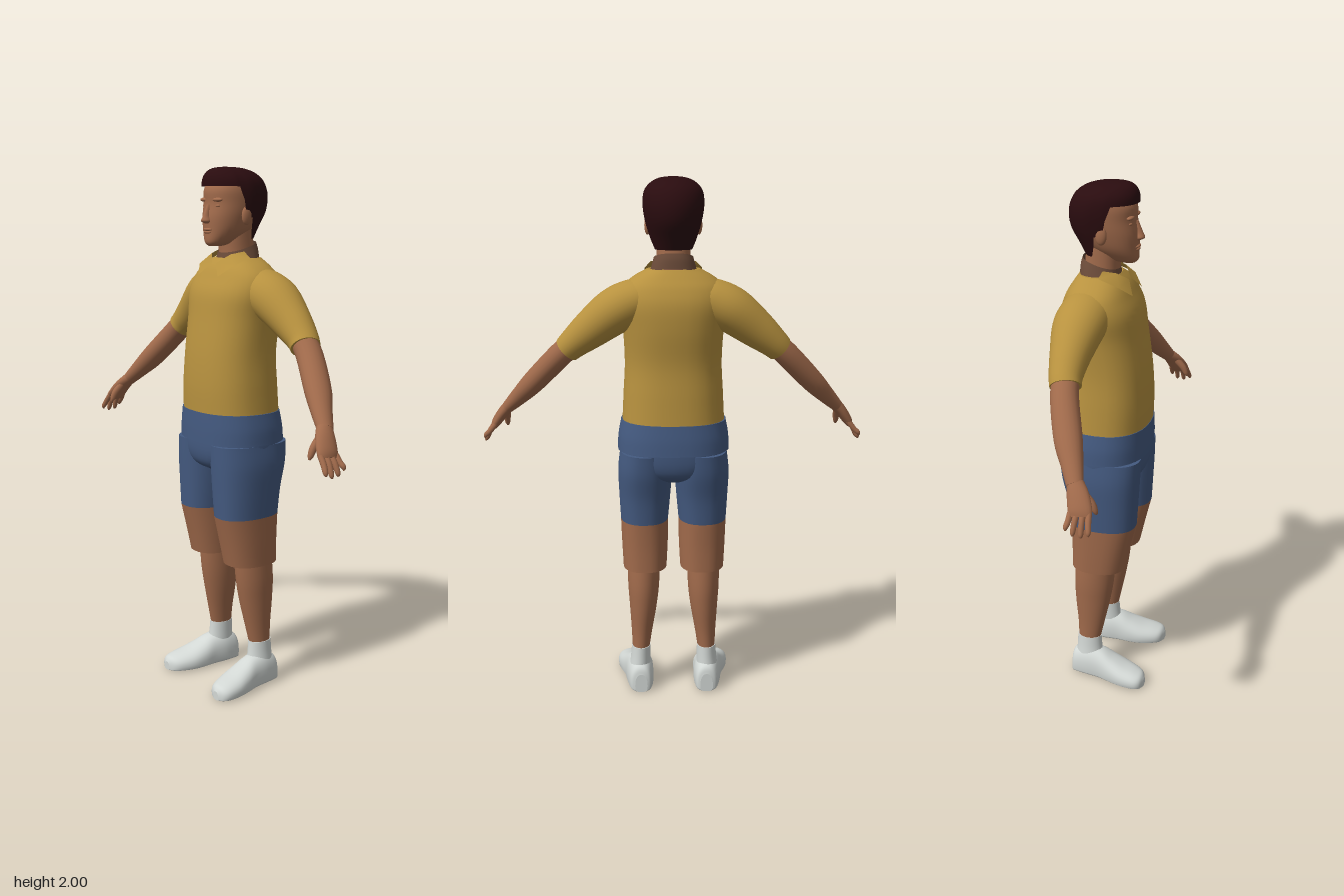
import * as THREE from 'three';

const V = (x, y, z) => new THREE.Vector3(x, y, z);
const mat = (name, color) => {
  const m = new THREE.MeshStandardMaterial({ color, side: THREE.DoubleSide });
  m.name = name;
  return m;
};

// Signed power, used for rounded-box cross-sections
const spow = (t, e) => Math.sign(t) * Math.pow(Math.abs(t), e);

// Smoothly fill in rows of numbers between the given ones
function smooth(rows, steps = 5) {
  const out = [], last = rows.length - 1;
  const at = (i) => rows[Math.min(Math.max(i, 0), last)];
  for (let i = 0; i < last; i++) {
    for (let k = 0; k < steps; k++) {
      const t = k / steps;
      out.push(at(i).map((p1, c) => {
        const p2 = at(i + 1)[c], m1 = (p2 - at(i - 1)[c]) / 2, m2 = (at(i + 2)[c] - p1) / 2;
        const t2 = t * t, t3 = t2 * t;
        return (2 * t3 - 3 * t2 + 1) * p1 + (t3 - 2 * t2 + t) * m1 + (3 * t2 - 2 * t3) * p2 + (t3 - t2) * m2;
      }));
    }
  }
  out.push(rows[last]);
  return out;
}

// Skin a list of closed rings; caps get their own vertices so their rims stay crisp
function skin(rings, capStart = true, capEnd = true) {
  const pos = [], idx = [], n = rings[0].length;
  rings.forEach((r) => r.forEach((p) => pos.push(p.x, p.y, p.z)));
  for (let i = 0; i < rings.length - 1; i++) {
    for (let j = 0; j < n; j++) {
      const a = i * n + j, b = i * n + (j + 1) % n;
      idx.push(a, b, a + n, b, b + n, a + n);
    }
  }
  const cap = (ring, flip) => {
    const base = pos.length / 3, c = V(0, 0, 0);
    ring.forEach((p) => { pos.push(p.x, p.y, p.z); c.addScaledVector(p, 1 / n); });
    pos.push(c.x, c.y, c.z);
    for (let j = 0; j < n; j++) {
      const a = base + j, b = base + (j + 1) % n;
      flip ? idx.push(b, a, base + n) : idx.push(a, b, base + n);
    }
  };
  if (capStart) cap(rings[0], true);
  if (capEnd) cap(rings[rings.length - 1], false);
  const g = new THREE.BufferGeometry();
  g.setAttribute('position', new THREE.Float32BufferAttribute(pos, 3));
  g.setIndex(idx);
  g.computeVertexNormals();
  return g;
}

const ring = (n, fn) => Array.from({ length: n }, (_, j) => fn((j / n) * Math.PI * 2));

// Upright body part from rows of [y, centre x, front z, back z, half width]
function upright(rows, { e = 0.9, caps = [true, true], tilt = 0 } = {}) {
  return skin(smooth(rows).map(([y, cx, zf, zb, rx]) => ring(32, (a) => {
    const dz = spow(Math.cos(a), e) * (zf - zb) / 2;
    return V(cx + rx * spow(Math.sin(a), e), y - tilt * dz, (zf + zb) / 2 + dz);
  })), ...caps);
}

// Limb along a path from rows of [x, y, z, thickness radius, width radius]
function limb(rows, sides = 20, caps = [true, true]) {
  const s = smooth(rows), p = s.map((r) => V(r[0], r[1], r[2]));
  return skin(s.map((r, i) => {
    const t = p[Math.min(i + 1, p.length - 1)].clone().sub(p[Math.max(i - 1, 0)]).normalize();
    const v = V(0, 0, 1).addScaledVector(t, -t.z).normalize(), u = t.clone().cross(v);
    return ring(sides, (a) => p[i].clone().addScaledVector(u, r[3] * Math.sin(a)).addScaledVector(v, r[4] * Math.cos(a)));
  }), ...caps);
}

// Shoe from rows of [z, centre x, half width, height], with a flat sole
function shoeGeometry(rows) {
  return skin(smooth(rows).map(([z, cx, w, h]) => ring(28, (a) => {
    const c = Math.cos(a);
    return V(cx - w * spow(Math.sin(a), 0.85), h * 0.35 + (c > 0 ? 0.65 * h * spow(c, 0.9) : 0.35 * h * spow(c, 0.35)), z);
  })));
}

// Hair shell whose lower edge runs fringe, temple, nape
function hairGeometry() {
  const profile = smooth([[1.73, 0.03, -0.09, 0.07], [1.78, 0.08, -0.117, 0.088], [1.84, 0.099, -0.15, 0.104],
    [1.9, 0.1, -0.155, 0.113], [1.95, 0.1, -0.136, 0.107], [1.98, 0.088, -0.1, 0.082], [1.995, 0.065, -0.055, 0.05], [2, 0.03, -0.015, 0.012]], 8);
  const at = (y) => {
    let i = 0;
    while (i < profile.length - 2 && profile[i + 1][0] < y) i++;
    const t = THREE.MathUtils.clamp((y - profile[i][0]) / (profile[i + 1][0] - profile[i][0]), 0, 1);
    return profile[i].map((p, c) => p + (profile[i + 1][c] - p) * t);
  };
  const step = THREE.MathUtils.smoothstep;
  const rows = Array.from({ length: 25 }, (_, k) => Math.sin((k / 24) * Math.PI / 2));
  return skin(rows.map((k) => ring(48, (a) => {
    const f = Math.cos(a);
    const low = 1.74 + 0.08 * step(f, -0.4, -0.1) + 0.11 * step(f, 0.1, 0.4);
    const [y, zf, zb, rx] = at(low + (2 - low) * k);
    return V(rx * Math.sin(a), y, (zf + zb) / 2 + f * (zf - zb) / 2);
  })), false, true);
}

// Copy of a geometry on the other side of x = 0
function mirror(g) {
  const m = g.clone().scale(-1, 1, 1), ix = m.index.array;
  for (let i = 0; i < ix.length; i += 3) [ix[i], ix[i + 1]] = [ix[i + 1], ix[i]];
  m.computeVertexNormals();
  return m;
}

const blob = (x, y, z, rx, ry, rz) => new THREE.SphereGeometry(1, 20, 14).scale(rx, ry, rz).translate(x, y, z);

export function createModel() {
  const model = new THREE.Group();
  model.name = 'standingMan';
  const skinTone = mat('skin', 0xa06a4b), shirt = mat('shirtYellow', 0xb8923f), blue = mat('shortsBlue', 0x445a80);
  const hair = mat('hairDark', 0x2a0c0f), white = mat('shoeWhite', 0xd3d8d5), band = mat('collarBrown', 0x6c4c3a);

  const add = (name, g, m) => {
    const mesh = new THREE.Mesh(g, m);
    mesh.name = name;
    model.add(mesh);
  };
  const pair = (name, g, m) => {
    add(name + 'Left', g, m);
    add(name + 'Right', mirror(g), m);
  };

  // Head and face
  add('head', upright([[1.715, 0, 0.088, 0.03, 0.022], [1.73, 0, 0.1, -0.02, 0.045], [1.77, 0, 0.1, -0.08, 0.073],
    [1.82, 0, 0.1, -0.12, 0.088], [1.87, 0, 0.092, -0.13, 0.094], [1.92, 0, 0.09, -0.13, 0.094],
    [1.96, 0, 0.06, -0.1, 0.08], [1.98, 0, 0.02, -0.05, 0.03]]), skinTone);
  add('nose', upright([[1.797, 0, 0.107, 0.08, 0.012], [1.806, 0, 0.122, 0.08, 0.019], [1.825, 0, 0.115, 0.08, 0.012],
    [1.865, 0, 0.098, 0.08, 0.008]], { e: 1 }), skinTone);
  add('upperLip', blob(0, 1.775, 0.095, 0.027, 0.006, 0.011), skinTone);
  add('lowerLip', blob(0, 1.765, 0.094, 0.023, 0.006, 0.011), skinTone);
  pair('brow', blob(0.038, 1.882, 0.079, 0.028, 0.008, 0.013), skinTone);
  pair('eyelid', blob(0.037, 1.86, 0.077, 0.016, 0.007, 0.01), skinTone);
  pair('ear', blob(0.095, 1.825, -0.012, 0.012, 0.034, 0.021), skinTone);
  add('hair', hairGeometry(), hair);
  add('neck', upright([[1.6, 0, 0.035, -0.1, 0.07], [1.68, 0, 0.03, -0.1, 0.064], [1.78, 0, 0.035, -0.09, 0.062]]), skinTone);

  // Polo shirt with collar
  add('collarBand', upright([[1.65, 0, 0.045, -0.115, 0.09], [1.685, 0, 0.035, -0.112, 0.08], [1.71, 0, 0.03, -0.105, 0.073]],
    { caps: [false, false], tilt: 0.3 }), band);
  const flap = new THREE.BufferGeometry();
  flap.setAttribute('position', new THREE.Float32BufferAttribute([
    0.083, 1.695, -0.01, 0.06, 1.685, 0.035, 0.012, 1.652, 0.068, 0.062, 1.606, 0.096, 0.108, 1.645, 0.058, 0.106, 1.672, -0.02], 3));
  flap.setIndex([0, 1, 5, 1, 4, 5, 1, 2, 4, 2, 3, 4]);
  flap.computeVertexNormals();
  pair('collarFlap', flap, shirt);
  add('shirtBody', upright([[1.1, 0, 0.153, -0.17, 0.195], [1.2, 0, 0.155, -0.165, 0.19], [1.32, 0, 0.147, -0.16, 0.184],
    [1.45, 0, 0.128, -0.174, 0.19], [1.54, 0, 0.113, -0.175, 0.203], [1.6, 0, 0.085, -0.158, 0.192],
    [1.64, 0, 0.062, -0.135, 0.152], [1.67, 0, 0.035, -0.115, 0.098]], { e: 0.85 }), shirt);
  pair('sleeve', limb([[0.1, 1.57, -0.05, 0.07, 0.09], [0.15, 1.55, -0.053, 0.084, 0.096], [0.22, 1.515, -0.06, 0.086, 0.093],
    [0.31, 1.447, -0.06, 0.072, 0.072], [0.37, 1.398, -0.055, 0.058, 0.06], [0.398, 1.372, -0.047, 0.052, 0.056]], 28), shirt);

  // Arms and hands
  pair('forearm', limb([[0.36, 1.41, -0.055, 0.045, 0.048], [0.43, 1.345, -0.04, 0.046, 0.05], [0.53, 1.24, 0.005, 0.043, 0.05],
    [0.59, 1.178, 0.038, 0.034, 0.039], [0.64, 1.128, 0.064, 0.024, 0.03]]), skinTone);
  pair('palm', limb([[0.63, 1.138, 0.06, 0.024, 0.028], [0.66, 1.105, 0.08, 0.022, 0.038], [0.688, 1.066, 0.096, 0.019, 0.042],
    [0.7, 1.045, 0.1, 0.013, 0.04]]), skinTone);
  [[0.066, 0.06, 1.005], [0.087, 0.084, 0.988], [0.108, 0.112, 0.985], [0.128, 0.138, 0.995]].forEach(([z0, z1, tip], i) => {
    pair('finger' + (i + 1), limb([[0.69, 1.06, z0, 0.011, 0.011], [0.715, 1.03, (z0 + z1) / 2, 0.0105, 0.0105],
      [0.73, tip + 0.012, z1, 0.009, 0.009], [0.734, tip, z1, 0.003, 0.003]], 10), skinTone);
  });
  pair('thumb', limb([[0.65, 1.108, 0.095, 0.015, 0.015], [0.652, 1.075, 0.125, 0.013, 0.014], [0.653, 1.05, 0.138, 0.01, 0.01],
    [0.653, 1.037, 0.143, 0.004, 0.004]], 10), skinTone);

  // Shorts: waist band, seat, blue upper legs and brown lower legs
  add('waistBand', upright([[0.985, 0, 0.157, -0.185, 0.214], [1.04, 0, 0.157, -0.181, 0.211], [1.1, 0, 0.155, -0.172, 0.2]],
    { e: 0.85, caps: [false, true] }), blue);
  add('shortsSeat', upright([[0.86, 0, 0.07, -0.09, 0.06], [0.89, 0, 0.125, -0.15, 0.15], [0.94, 0, 0.145, -0.172, 0.202],
    [1.02, 0, 0.148, -0.176, 0.204]], { e: 0.85 }), blue);
  pair('shortsLeg', upright([[0.7, 0.113, 0.13, -0.128, 0.093], [0.8, 0.111, 0.135, -0.14, 0.1], [0.9, 0.109, 0.14, -0.163, 0.105],
    [0.98, 0.105, 0.143, -0.172, 0.1]], { e: 0.85 }), blue);
  pair('shortsCuff', upright([[0.505, 0.112, 0.085, -0.124, 0.085], [0.6, 0.112, 0.106, -0.124, 0.09], [0.7, 0.113, 0.13, -0.128, 0.093]],
    { e: 0.85, caps: [false, false] }), skinTone);

  // Lower legs, socks and shoes
  pair('lowerLeg', upright([[0.17, 0.13, -0.01, -0.1, 0.034], [0.24, 0.126, 0.005, -0.103, 0.041], [0.35, 0.12, 0.028, -0.114, 0.054],
    [0.45, 0.118, 0.043, -0.116, 0.062], [0.62, 0.115, 0.055, -0.1, 0.064]], { e: 1 }), skinTone);
  pair('sock', upright([[0.08, 0.135, 0.005, -0.11, 0.043], [0.13, 0.132, -0.003, -0.106, 0.039], [0.178, 0.13, -0.007, -0.104, 0.037]], { e: 1 }), white);
  pair('shoe', shoeGeometry([[-0.125, 0.13, 0.025, 0.075], [-0.113, 0.131, 0.042, 0.105], [-0.06, 0.134, 0.053, 0.128],
    [0, 0.14, 0.056, 0.12], [0.05, 0.147, 0.064, 0.096], [0.1, 0.156, 0.067, 0.075], [0.15, 0.166, 0.058, 0.06],
    [0.175, 0.17, 0.042, 0.05], [0.187, 0.172, 0.016, 0.034]]), white);
  return model;
}
